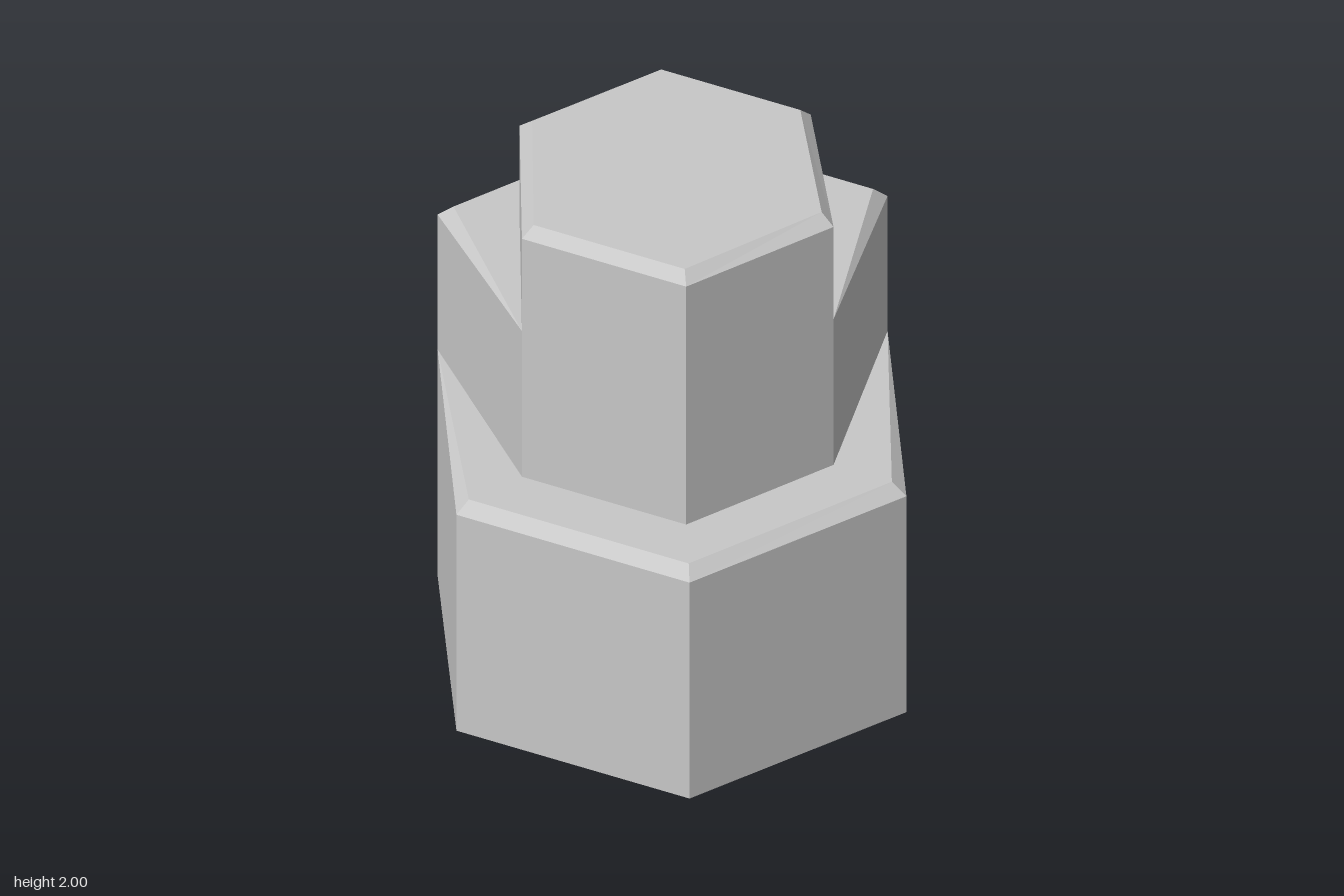
import * as THREE from 'three';

// Footprints as [x, z], running right, front right, front left, left, back left, back right
const BASE = [[0.885, 0], [0.44, 0.765], [-0.44, 0.765], [-0.885, 0], [-0.44, -0.765], [0.44, -0.765]];
const LIP = [[0.83, 0], [0.415, 0.72], [-0.415, 0.72], [-0.83, -0.01], [-0.42, -0.725], [0.405, -0.725]];
const TOWER = [[0.61, 0], [0.31, 0.525], [-0.31, 0.525], [-0.6, -0.05], [-0.31, -0.54], [0.26, -0.54]];
const CAP = [[0.56, -0.01], [0.285, 0.485], [-0.285, 0.485], [-0.55, -0.045], [-0.285, -0.5], [0.24, -0.5]];

// Heights of each tier: bevel edge and flat top
const LOW_EDGE = 0.912, LOW = 0.955, MID_EDGE = 1.525, MID = 1.57, TOP_EDGE = 1.96, TOP = 2;

const at = ([x, z], y) => new THREE.Vector3(x, y, z);
const rail = (loop, ids, y) => ids.map(i => at(loop[i], y));

// Faces between an outer (or lower) rail and an inner (or upper) rail
function strip(a, b) {
  const tris = [];
  for (let i = 0; i < a.length - 1; i++) {
    tris.push([a[i + 1], a[i], b[i]], [a[i + 1], b[i], b[i + 1]]);
  }
  return tris;
}

// Flat polygon, given counter-clockwise as seen from outside
function fan(p) {
  return p.slice(2).map((q, i) => [p[0], p[i + 1], q]);
}

function makeMesh(name, tris, material) {
  const solid = tris.filter(t => new THREE.Triangle(...t).getArea() > 1e-6);
  const geometry = new THREE.BufferGeometry().setFromPoints(solid.flat());
  geometry.computeVertexNormals();
  const mesh = new THREE.Mesh(geometry, material);
  mesh.name = name;
  return mesh;
}

export function createModel() {
  const grey = new THREE.MeshStandardMaterial({ color: 0xc8c8c8, flatShading: true });
  grey.name = 'plain grey';
  const group = new THREE.Group();
  group.name = 'steppedHexagonalBlock';
  const ring = [0, 1, 2, 3, 4, 5, 0];

  // Lower step around the front: walls, bevel tapering out at both ends, shelf
  const front = [5, 0, 1, 2, 3];
  const lowRim = front.map((id, k) => at(BASE[id], k === 0 || k === 4 ? LOW : LOW_EDGE));
  const lowLip = front.map((id, k) => at(k === 0 || k === 4 ? BASE[id] : LIP[id], LOW));
  group.add(makeMesh('lowerStep', [
    ...strip(rail(BASE, front, 0), lowRim),
    ...strip(lowRim, lowLip),
    ...strip(lowLip, rail(TOWER, [0, 0, 1, 2, 2], LOW)),
    ...fan(rail(BASE, [0, 1, 2, 3, 4, 5], 0)),
  ], grey));

  // Middle step around the back, joined to the tower by two slanting walls
  const back = [3, 4, 5];
  const start = at(TOWER[2], MID), end = at(TOWER[0], MID);
  const midRim = [start, ...rail(BASE, back, MID_EDGE), end];
  const midLip = [start, ...rail(LIP, back, MID), end];
  group.add(makeMesh('middleStep', [
    ...strip(rail(BASE, back, 0), rail(BASE, back, MID_EDGE)),
    ...strip([at(TOWER[2], LOW), at(BASE[3], LOW)], midRim.slice(0, 2)),
    ...strip([at(BASE[5], LOW), at(TOWER[0], LOW)], midRim.slice(3)),
    ...strip(midRim, midLip),
    ...strip(midLip, rail(TOWER, [2, 3, 4, 5, 0], MID)),
  ], grey));

  // Tower: tall front walls, short back walls, bevel and flat cap
  const tall = [0, 1, 2], short = [2, 3, 4, 5, 0];
  group.add(makeMesh('tower', [
    ...strip(rail(TOWER, tall, LOW), rail(TOWER, tall, TOP_EDGE)),
    ...strip(rail(TOWER, short, MID), rail(TOWER, short, TOP_EDGE)),
    ...strip(rail(TOWER, ring, TOP_EDGE), rail(CAP, ring, TOP)),
    ...fan(rail(CAP, [5, 4, 3, 2, 1, 0], TOP)),
  ], grey));

  return group;
}
